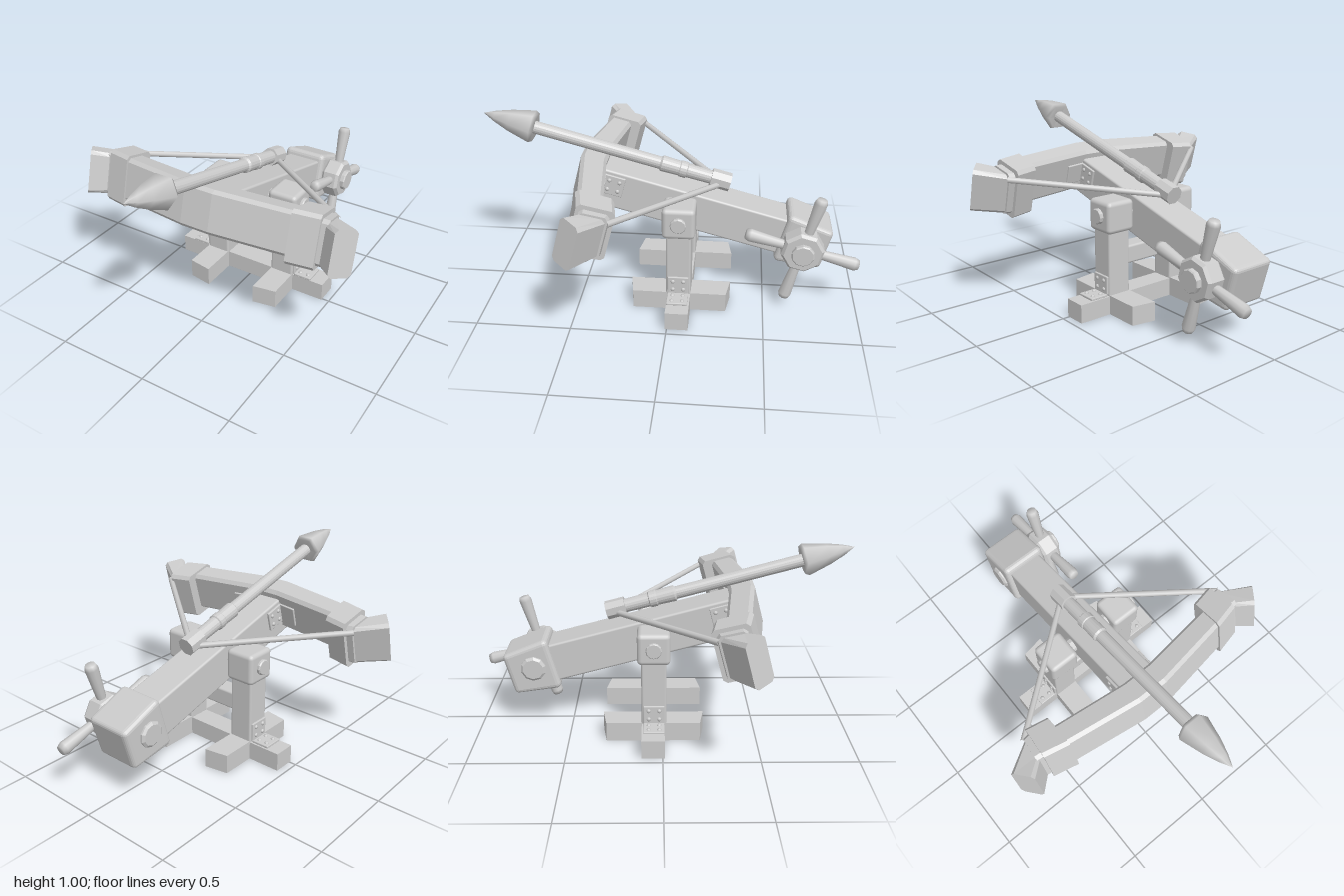
import * as THREE from 'three';
import { RoundedBoxGeometry } from 'three/addons/geometries/RoundedBoxGeometry.js';

const smooth = new THREE.MeshStandardMaterial({ color: 0xcccccc });
const faceted = new THREE.MeshStandardMaterial({ color: 0xcccccc, flatShading: true });
const open = new THREE.MeshStandardMaterial({ color: 0xcccccc, side: THREE.DoubleSide });

function add(parent, name, geometry, x = 0, y = 0, z = 0, material = smooth) {
  const mesh = new THREE.Mesh(geometry, material);
  mesh.name = name;
  mesh.position.set(x, y, z);
  parent.add(mesh);
  return mesh;
}

const block = (w, h, d, r = 0.012) => new RoundedBoxGeometry(w, h, d, 2, r);

// Turned part: profile of [radius, distance] swung round the x, y or z axis
function turned(profile, sides, axis, start = 0) {
  const g = new THREE.LatheGeometry(profile.map(p => new THREE.Vector2(...p)), sides, start);
  if (axis === 'x') g.rotateZ(-Math.PI / 2);
  if (axis === 'z') g.rotateX(Math.PI / 2);
  return g;
}

// Beam with chamfered corners through sections running towards +x:
// [back x, back z, front x, front z, bottom y, top y]
function loft(sections, c = 0.018) {
  const pos = [], idx = [], n = 8;
  for (const [xb, zb, xf, zf, y0, y1] of sections) {
    const k = c / Math.hypot(xf - xb, zf - zb);
    const put = (t, y) => pos.push(xb + (xf - xb) * t, y, zb + (zf - zb) * t);
    put(k, y0); put(1 - k, y0); put(1, y0 + c); put(1, y1 - c);
    put(1 - k, y1); put(k, y1); put(0, y1 - c); put(0, y0 + c);
  }
  const last = (sections.length - 1) * n;
  for (let s = 0; s < last; s += n) {
    for (let i = 0; i < n; i++) {
      const a = s + i, a2 = s + (i + 1) % n;
      idx.push(a, a + n, a2, a + n, a2 + n, a2);
    }
  }
  for (let i = 1; i < n - 1; i++) idx.push(0, i, i + 1, last, last + i + 1, last + i);
  const g = new THREE.BufferGeometry();
  g.setAttribute('position', new THREE.Float32BufferAttribute(pos, 3));
  g.setIndex(idx);
  const flat = g.toNonIndexed();
  flat.computeVertexNormals();
  return flat;
}

// The same sections on the other side
const mirrored = (sections, s) => s > 0 ? sections :
  sections.map(([xb, zb, xf, zf, a, b]) => [-xb, zb, -xf, zf, a, b]).reverse();

// Ground beam without an underside
function groundBeam(w, h, d) {
  const g = new THREE.BoxGeometry(w, h, d);
  const index = Array.from(g.index.array);
  index.splice(18, 6);
  g.setIndex(index);
  g.clearGroups();
  return g;
}

// Plate in the yz plane facing side s, with four low studs
function studdedPlate(h, d, s) {
  const plate = new THREE.Group();
  plate.name = 'bracketPlate';
  add(plate, 'plate', block(0.014, h, d, 0.004));
  for (const y of [-1, 1]) for (const z of [-1, 1]) {
    const stud = add(plate, 'stud', new THREE.SphereGeometry(0.012, 8, 6), s * 0.006, y * h * 0.24, z * d * 0.25);
    stud.scale.x = 0.8;
  }
  return plate;
}

function buildStand() {
  const stand = new THREE.Group();
  stand.name = 'stand';
  const z = -0.05;
  add(stand, 'crossBeam', groundBeam(0.92, 0.1, 0.12), 0, 0.05, z, open);
  add(stand, 'crossRail', block(0.32, 0.1, 0.1), 0, 0.3, z);
  for (const s of [-1, 1]) {
    // foot with ends cut back on the outer side
    const footGeo = groundBeam(0.13, 0.105, 0.54);
    const p = footGeo.attributes.position;
    for (let i = 0; i < p.count; i++) {
      if (p.getX(i) * s > 0) p.setZ(i, p.getZ(i) * 0.92);
    }
    footGeo.computeVertexNormals();
    add(stand, 'foot', footGeo, s * 0.21, 0.0525, z, open);
    add(stand, 'post', block(0.134, 0.42, 0.132), s * 0.21, 0.3, z + 0.005);
    add(stand, 'postHead', block(0.168, 0.17, 0.172, 0.024), s * 0.21, 0.527, z + 0.005);
    // corner bracket
    const upright = studdedPlate(0.1, 0.11, s);
    upright.position.set(s * 0.28, 0.158, z + 0.005);
    const flat = studdedPlate(0.1, 0.11, 1);
    flat.rotation.z = Math.PI / 2;
    flat.position.set(s * 0.335, 0.105, z + 0.005);
    stand.add(upright, flat);
  }
  add(stand, 'pivotPin', turned([[0, -0.312], [0.037, -0.312], [0.042, -0.306],
    [0.042, 0.306], [0.037, 0.312], [0, 0.312]], 12, 'x'), 0, 0.53, -0.045, faceted);
  return stand;
}

function buildBow(body) {
  const bow = new THREE.Group();
  bow.name = 'bow';
  const half = [[0.08, 0.44, 0.08, 0.578, -0.09, 0.14], [0.5, 0.385, 0.5, 0.512, -0.09, 0.14]];
  add(bow, 'bowBeam', loft([...mirrored(half, -1), ...half]));
  for (const s of [-1, 1]) {
    add(bow, 'collar', loft(mirrored([
      [0.48, 0.335, 0.48, 0.527, -0.122, 0.153],
      [0.6, 0.31, 0.615, 0.495, -0.122, 0.153]], s)));
    add(bow, 'wrap', loft(mirrored([
      [0.585, 0.328, 0.6, 0.48, -0.102, 0.132],
      [0.635, 0.335, 0.65, 0.475, -0.102, 0.132]], s)));
    add(bow, 'bowTip', loft(mirrored([
      [0.62, 0.335, 0.635, 0.475, -0.1, 0.12],
      [0.785, 0.445, 0.71, 0.542, -0.11, 0.127]], s)));
    // bracket joining bow and stock
    const sidePlate = studdedPlate(0.11, 0.11, s);
    sidePlate.position.set(s * 0.106, 0.02, 0.375);
    const backPlate = studdedPlate(0.11, 0.11, 1);
    backPlate.rotation.y = Math.PI / 2 + s * 0.13;
    backPlate.position.set(s * 0.155, 0.02, 0.427);
    backPlate.scale.x = -1;
    bow.add(sidePlate, backPlate);
    // drawn string
    const path = new THREE.LineCurve3(
      new THREE.Vector3(s * 0.64, 0.103, 0.34), new THREE.Vector3(s * 0.02, 0.155, -0.165));
    add(bow, 'string', new THREE.TubeGeometry(path, 1, 0.016, 8));
  }
  body.add(bow);
}

function buildArrow(body) {
  const arrow = new THREE.Group();
  arrow.name = 'arrow';
  arrow.position.y = 0.172;
  add(arrow, 'shaft', turned([[0, -0.13], [0.036, -0.13], [0.038, 0.02], [0.044, 0.025],
    [0.044, 0.06], [0.04, 0.065], [0.043, 0.16], [0.034, 0.17], [0.034, 0.88]], 18, 'z'), 0, 0, 0, faceted);
  add(arrow, 'nock', turned([[0, -0.215], [0.05, -0.215], [0.05, -0.11], [0, -0.11]], 8, 'z', Math.PI / 8), 0, 0, 0, faceted);
  add(arrow, 'arrowHead', turned([[0, 0.865], [0.075, 0.85], [0.087, 0.87], [0.057, 0.99],
    [0.029, 1.07], [0, 1.131]], 6, 'z', Math.PI / 6));
  body.add(arrow);
}

function buildWinch(body) {
  const winch = new THREE.Group();
  winch.name = 'winch';
  winch.position.z = -0.667;
  add(winch, 'hub', turned([[0, 0.12], [0.1, 0.13], [0.114, 0.145], [0.114, 0.22],
    [0.1, 0.236], [0, 0.236]], 8, 'x', Math.PI / 8), 0, 0, 0, faceted);
  add(winch, 'hubCap', turned([[0.06, 0.23], [0.06, 0.256], [0.054, 0.262], [0, 0.262]], 10, 'x'), 0, 0, 0, faceted);
  add(winch, 'axleEnd', turned([[0, -0.146], [0.055, -0.146], [0.068, -0.136], [0.068, -0.1]], 10, 'x'), 0, 0, 0, faceted);
  for (let i = 0; i < 4; i++) {
    const handle = add(winch, 'handle', turned([[0.024, 0.09], [0.035, 0.285], [0.027, 0.308], [0, 0.308]], 10, 'y'), 0.185, 0, 0);
    handle.rotation.x = i * Math.PI / 2;
  }
  body.add(winch);
}

// Block at the tail of the stock, lower towards its rear end
function rearBlock() {
  const g = block(0.254, 0.285, 0.255, 0.026);
  const p = g.attributes.position;
  for (let i = 0; i < p.count; i++) {
    if (p.getZ(i) < 0) p.setY(i, p.getY(i) * 0.82);
  }
  g.computeVertexNormals();
  return g;
}

export function createModel() {
  const model = new THREE.Group();
  model.name = 'ballista';
  model.add(buildStand());

  // Tilted upper body, turning about the pivot pin
  const body = new THREE.Group();
  body.name = 'body';
  body.position.set(0, 0.53, -0.045);
  body.rotation.x = -Math.PI / 12;
  add(body, 'stock', block(0.2, 0.21, 1.18), 0, -0.01, -0.1);
  add(body, 'rearBlock', rearBlock(), 0, -0.008, -0.683);
  buildBow(body);
  buildArrow(body);
  buildWinch(body);
  model.add(body);
  return model;
}
